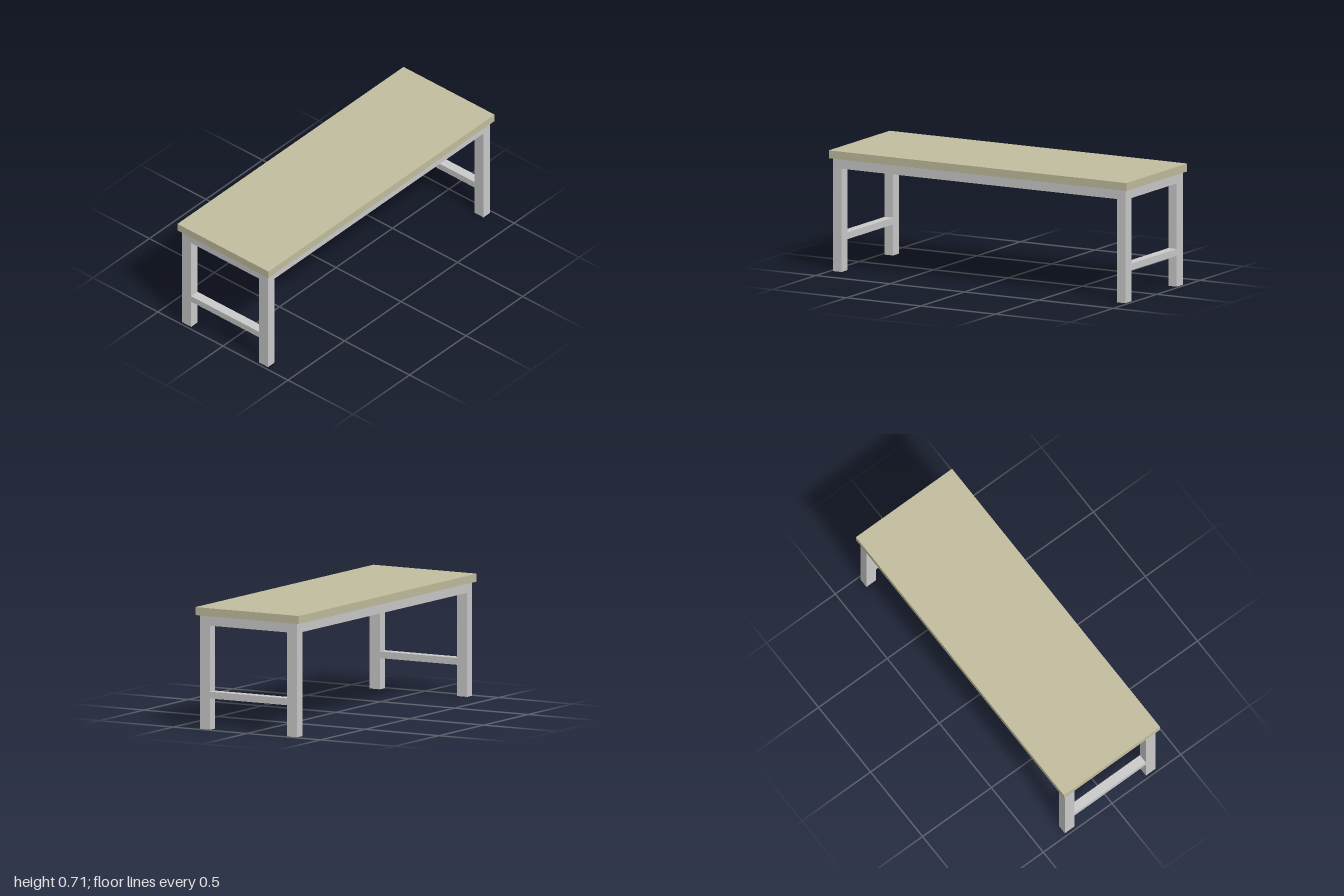
import * as THREE from 'three';

export function createModel() {
  const group = new THREE.Group();
  const grey = new THREE.MeshStandardMaterial({ color: 0xcccccc, flatShading: true });
  const wood = new THREE.MeshStandardMaterial({ color: 0xc3be9f, flatShading: true });

  // Box given by its minimum and maximum corners
  function box(name, [x0, y0, z0], [x1, y1, z1], material = grey) {
    const mesh = new THREE.Mesh(new THREE.BoxGeometry(x1 - x0, y1 - y0, z1 - z0), material);
    mesh.position.set((x0 + x1) / 2, (y0 + y1) / 2, (z0 + z1) / 2);
    mesh.name = name;
    group.add(mesh);
    return mesh;
  }

  const topY = 0.715, slabY = 0.668, railY = 0.61; // slab top, slab underside, rail underside
  const outX = 0.33, inX = 0.26;                   // leg faces across the width
  const outZ = 0.982, inZ = 0.925;                 // leg faces along the length

  // Table top
  box('tableTop', [-0.35, slabY, -1], [0.35, topY, 1], wood);

  for (const s of [-1, 1]) {
    const end = s < 0 ? 'back' : 'front';
    const side = s < 0 ? 'right' : 'left';
    const z = [s * outZ, s * inZ].sort((a, b) => a - b);
    const x = [s * outX, s * inX].sort((a, b) => a - b);

    // End rail and low stretcher between the two legs of each end
    box(end + 'Rail', [-inX, railY, z[0]], [inX, slabY, z[1]]);
    box(end + 'Stretcher', [-inX, 0.183, z[0]], [inX, 0.223, z[1]]);

    // Long rail under each side of the top
    box(side + 'Rail', [x[0], railY, -inZ], [x[1], slabY, inZ]);

    // Two legs on this side
    for (const [name, z0, z1] of [['Front', inZ, outZ], ['Back', -outZ, -inZ]]) {
      box(side + name + 'Leg', [x[0], 0, z0], [x[1], slabY, z1]);
    }
  }
  return group;
}
